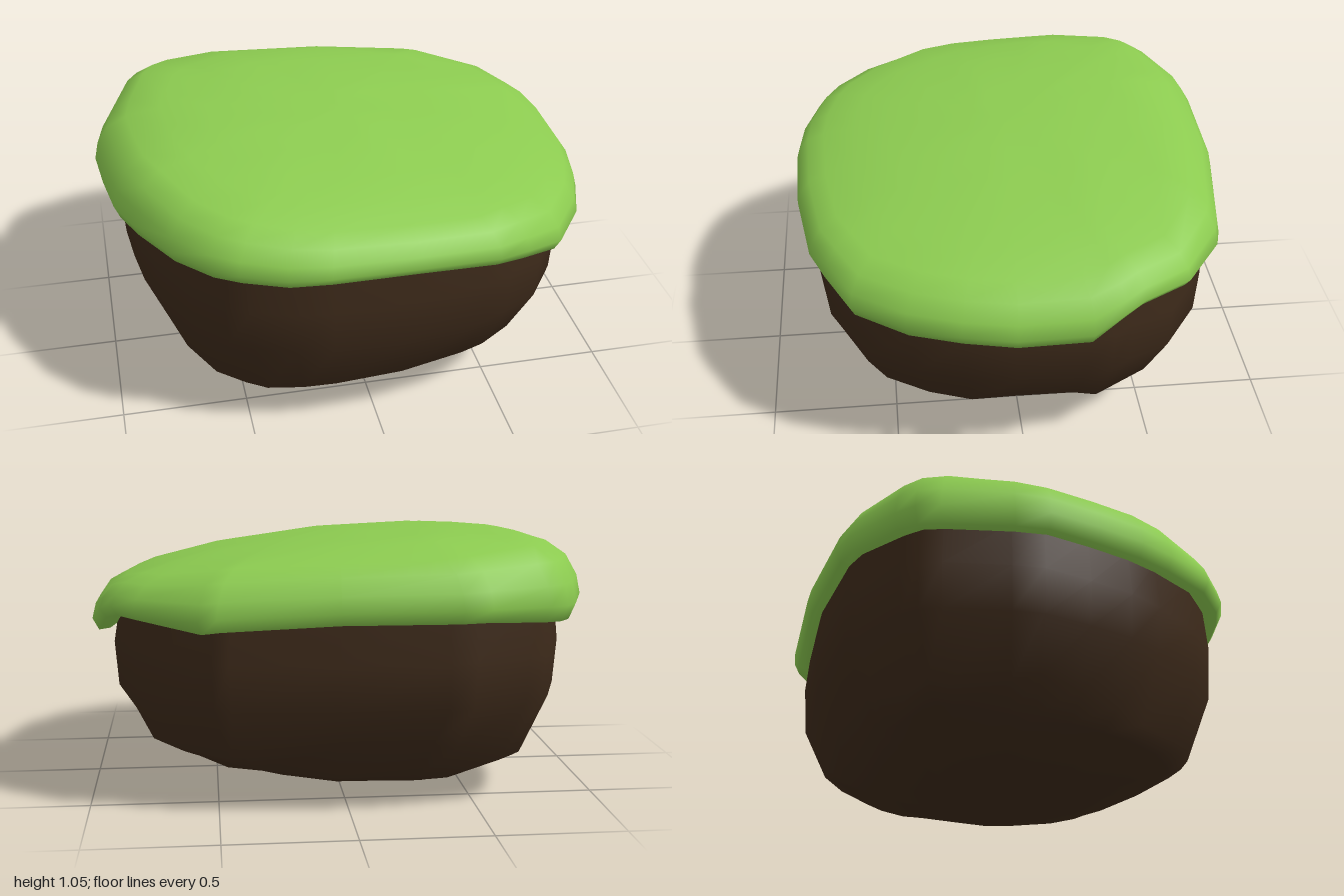
import * as THREE from 'three';
import { mergeVertices } from 'three/addons/utils/BufferGeometryUtils.js';

// Rim of the grass, seen from above: x, z, height of the hanging edge
const RIM = [
  [0.99, 0.05, 0.645], [0.95, 0.25, 0.65], [0.88, 0.45, 0.65], [0.74, 0.65, 0.655],
  [0.58, 0.74, 0.69], [0.45, 0.80, 0.715], [0.13, 0.85, 0.75], [-0.21, 0.86, 0.755],
  [-0.37, 0.84, 0.75], [-0.54, 0.78, 0.755], [-0.64, 0.72, 0.755], [-0.77, 0.58, 0.755],
  [-0.89, 0.34, 0.74], [-0.95, 0.18, 0.73], [-0.98, -0.02, 0.73], [-1.0, -0.23, 0.73],
  [-0.97, -0.36, 0.73], [-0.88, -0.62, 0.73], [-0.83, -0.70, 0.735], [-0.75, -0.75, 0.74],
  [-0.51, -0.85, 0.76], [-0.40, -0.87, 0.76], [0.05, -0.86, 0.76], [0.50, -0.79, 0.73],
  [0.57, -0.77, 0.72], [0.81, -0.61, 0.75], [0.90, -0.43, 0.74], [0.95, -0.35, 0.72],
  [0.99, -0.23, 0.65],
];

// Profiles as [position, height] pairs: top surface and underside along x and z
const TOP_X = [[-0.9, 0.97], [-0.78, 1.03], [-0.4, 1.06], [0.05, 1.04], [0.48, 0.98], [0.76, 0.91], [0.9, 0.85]];
const TOP_Z = [[-0.83, 0.93], [-0.7, 1.02], [-0.62, 1.04], [-0.3, 1.06], [0.1, 1.045], [0.4, 1.01], [0.65, 0.96], [0.78, 0.91]];
const BASE_X = [[-0.86, 0.32], [-0.72, 0.11], [-0.41, 0], [0.02, 0.005], [0.47, 0.08], [0.76, 0.21], [0.9, 0.43]];
const BASE_Z = [[-0.78, 0.39], [-0.62, 0.11], [-0.3, 0], [0.13, 0.005], [0.49, 0.07], [0.72, 0.19], [0.81, 0.42]];

function sample(profile, t) {
  if (t <= profile[0][0]) return profile[0][1];
  for (let i = 1; i < profile.length; i++) {
    const [a, ya] = profile[i - 1], [b, yb] = profile[i];
    if (t <= b) return ya + (yb - ya) * (t - a) / (b - a);
  }
  return profile[profile.length - 1][1];
}
const topHeight = (x, z) => sample(TOP_X, x) + sample(TOP_Z, z) - 1.06;
const baseHeight = (x, z) => sample(BASE_X, x) + sample(BASE_Z, z);

// Joins rings of points, listed from the bottom upward, into a smooth surface
function skin(rings) {
  const n = rings[0].length, index = [];
  for (let r = 0; r < rings.length - 1; r++) {
    for (let i = 0; i < n; i++) {
      const a = r * n + i, b = r * n + (i + 1) % n;
      index.push(a, a + n, b, b, a + n, b + n);
    }
  }
  const geometry = new THREE.BufferGeometry();
  geometry.setAttribute('position', new THREE.Float32BufferAttribute(rings.flat(2), 3));
  geometry.setIndex(index);
  const merged = mergeVertices(geometry, 1e-4);
  merged.computeVertexNormals();
  return merged;
}

function part(name, color, rings) {
  const material = new THREE.MeshStandardMaterial({ color, side: THREE.DoubleSide });
  const mesh = new THREE.Mesh(skin(rings), material);
  mesh.name = name;
  return mesh;
}

export function createModel() {
  const group = new THREE.Group();
  group.name = 'grassyIsland';

  // Soil: rounded underside, then steep walls tucked under the grass
  const soilRing = (s, height) => RIM.map(([x, z, lip]) => {
    const px = x * 0.915 * s, pz = z * 0.94 * s;
    return [px, height(px, pz, lip), pz];
  });
  const soil = [0, 0.25, 0.45, 0.62, 0.77, 0.87].map((s) => soilRing(s, baseHeight));
  soil.push(
    soilRing(0.985, () => 0.42),
    soilRing(1, () => 0.6),
    soilRing(0.98, (x, z, lip) => lip + 0.06),
  );
  group.add(part('soil', 0x3d2a1a, soil));

  // Grass: curled lip, bulging edge, then the sloping top
  const edgeRing = (s, height) => RIM.map(([x, z, lip]) =>
    [x * s, height(lip, topHeight(x * 0.86, z * 0.86)), z * s]);
  const grass = [
    edgeRing(0.88, (lip) => lip + 0.04),
    edgeRing(0.93, (lip) => lip + 0.005),
    edgeRing(0.975, (lip) => lip),
    edgeRing(1, (lip, top) => lip + (top - lip) * 0.22),
    edgeRing(0.985, (lip, top) => lip + (top - lip) * 0.5),
    edgeRing(0.94, (lip, top) => lip + (top - lip) * 0.8),
  ];
  for (const s of [0.86, 0.72, 0.55, 0.37, 0.18, 0]) {
    grass.push(RIM.map(([x, z]) => [x * s, topHeight(x * s, z * s), z * s]));
  }
  group.add(part('grass', 0x8ccb50, grass));

  return group;
}
